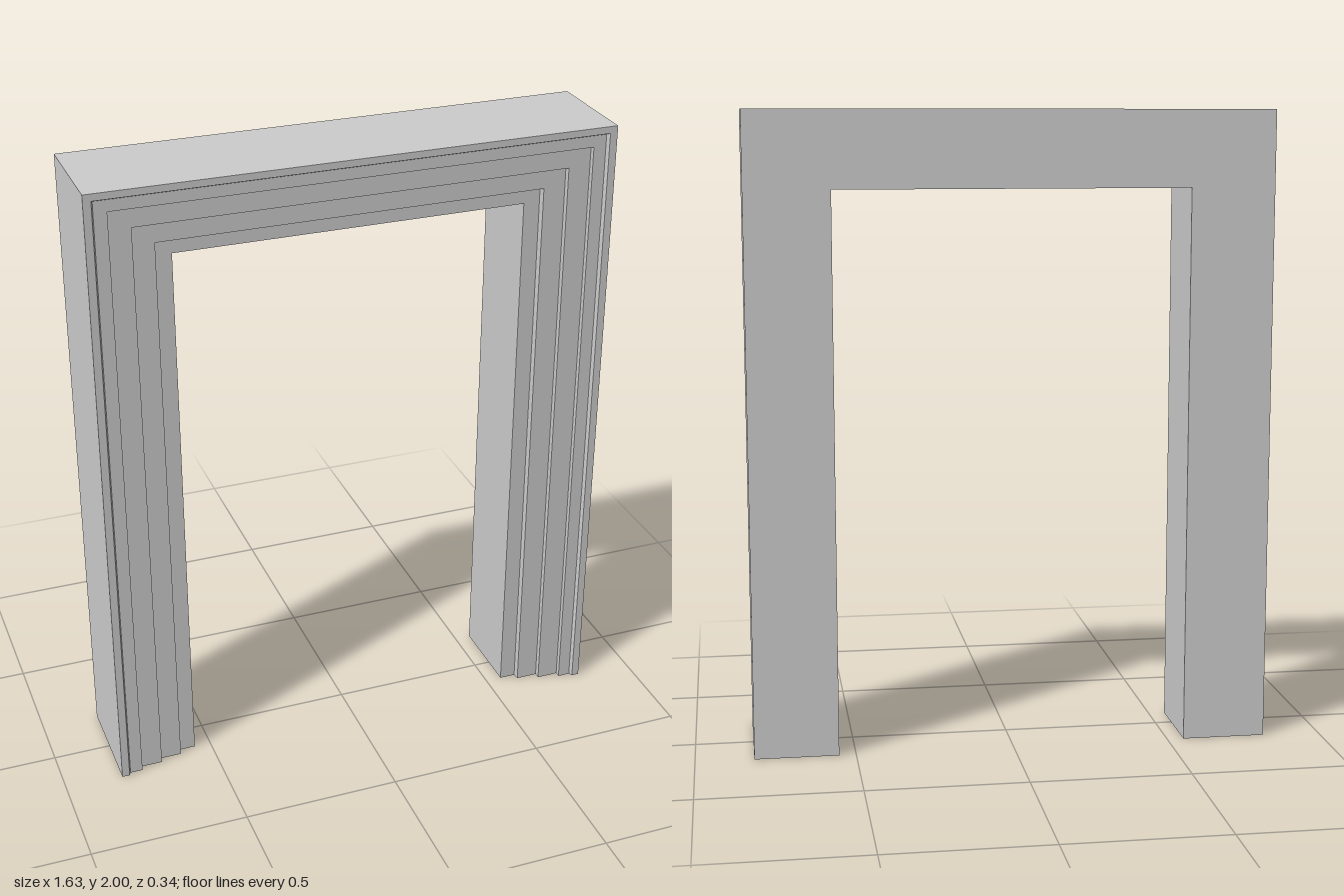
import * as THREE from 'three';

const HALF_WIDTH = 0.817;
const HEIGHT = 2;
const HEAD_SCALE = 0.905; // the head is slightly slimmer than the legs

// Cross-section of the frame: [distance in from the outer edge, z]
const PROFILE = [
  [0, 0.172], [0.024, 0.172], [0.03, 0.16],
  [0.07, 0.16], [0.07, 0.142],
  [0.14, 0.142], [0.14, 0.122],
  [0.21, 0.122], [0.212, 0.1],
  [0.264, 0.1], [0.264, -0.172], [0, -0.172],
];

// Positions of one profile point along the path: foot, corner, corner, foot
function pathOf([d, z]) {
  const x = HALF_WIDTH - d;
  const y = HEIGHT - d * HEAD_SCALE;
  return [[-x, 0, z], [-x, y, z], [x, y, z], [x, 0, z]];
}

// One mitred length of the frame, open at its ends
function frameSection(name, segment, material) {
  const positions = [];
  PROFILE.forEach((point, i) => {
    const a = pathOf(point);
    const b = pathOf(PROFILE[(i + 1) % PROFILE.length]);
    const s = segment;
    positions.push(
      ...a[s], ...b[s], ...b[s + 1],
      ...a[s], ...b[s + 1], ...a[s + 1],
    );
  });
  const geometry = new THREE.BufferGeometry();
  geometry.setAttribute('position', new THREE.Float32BufferAttribute(positions, 3));
  geometry.computeVertexNormals();
  const mesh = new THREE.Mesh(geometry, material);
  mesh.name = name;
  return mesh;
}

export function createModel() {
  const group = new THREE.Group();
  group.name = 'doorFrame';
  const material = new THREE.MeshStandardMaterial({ color: 0xcccccc, side: THREE.DoubleSide });
  ['rightJamb', 'head', 'leftJamb'].forEach((name, i) => {
    group.add(frameSection(name, i, material));
  });
  return group;
}
